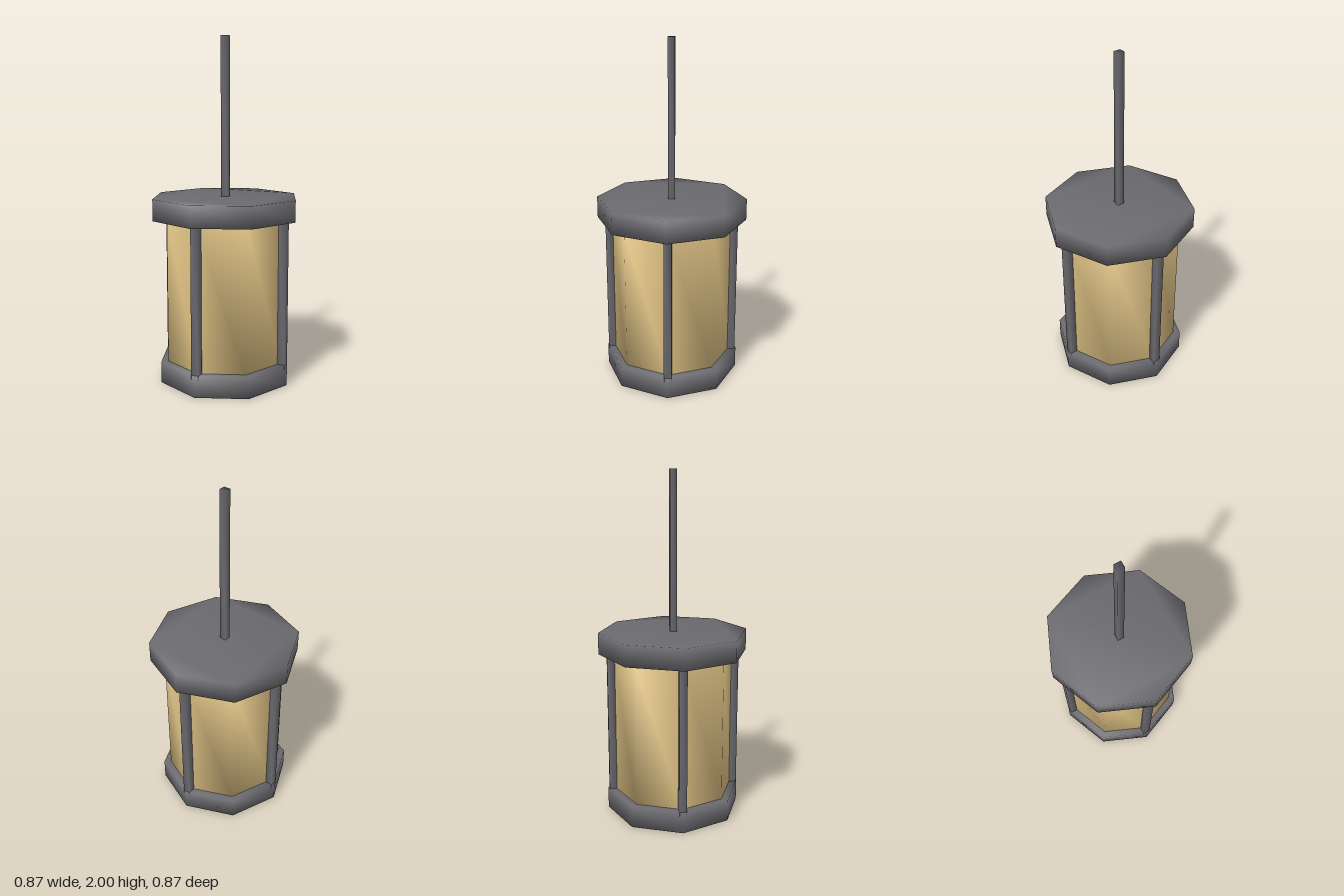
import * as THREE from 'three';
import { mergeVertices } from 'three/addons/utils/BufferGeometryUtils.js';

const metal = new THREE.MeshStandardMaterial({ color: 0x6b6a6f });
metal.name = 'dark grey metal';
const glass = new THREE.MeshStandardMaterial({ color: 0xd8bc80 });
glass.name = 'warm amber glass';

// Upright prism with corners on the axes; welded so shading rolls over its edges
function prism(name, material, sides, radius, bottom, top) {
  const corners = [];
  for (let i = 0; i < sides; i++) {
    const a = (i / sides) * Math.PI * 2;
    corners.push(new THREE.Vector2(Math.cos(a) * radius, Math.sin(a) * radius));
  }
  let geometry = new THREE.ExtrudeGeometry(new THREE.Shape(corners), {
    depth: top - bottom, bevelEnabled: false,
  });
  geometry.rotateX(-Math.PI / 2);
  geometry.translate(0, bottom, 0);
  geometry.deleteAttribute('normal');
  geometry.deleteAttribute('uv');
  geometry = mergeVertices(geometry, 1e-4);
  geometry.computeVertexNormals();
  const mesh = new THREE.Mesh(geometry, material);
  mesh.name = name;
  return mesh;
}

export function createModel() {
  const lantern = new THREE.Group();
  lantern.name = 'hangingLantern';

  // Octagonal body
  lantern.add(
    prism('base', metal, 8, 0.396, 0, 0.125),
    prism('glassShade', glass, 8, 0.353, 0.12, 0.965),
    prism('topCap', metal, 8, 0.436, 0.96, 1.085),
    prism('hangingRod', metal, 4, 0.028, 1.08, 2),
  );

  // Four corner posts on the diagonals
  for (const x of [-1, 1]) {
    for (const z of [-1, 1]) {
      const post = prism('cornerPost', metal, 4, 0.031, 0.1, 0.985);
      post.position.set(x * 0.259, 0, z * 0.259);
      lantern.add(post);
    }
  }
  return lantern;
}
